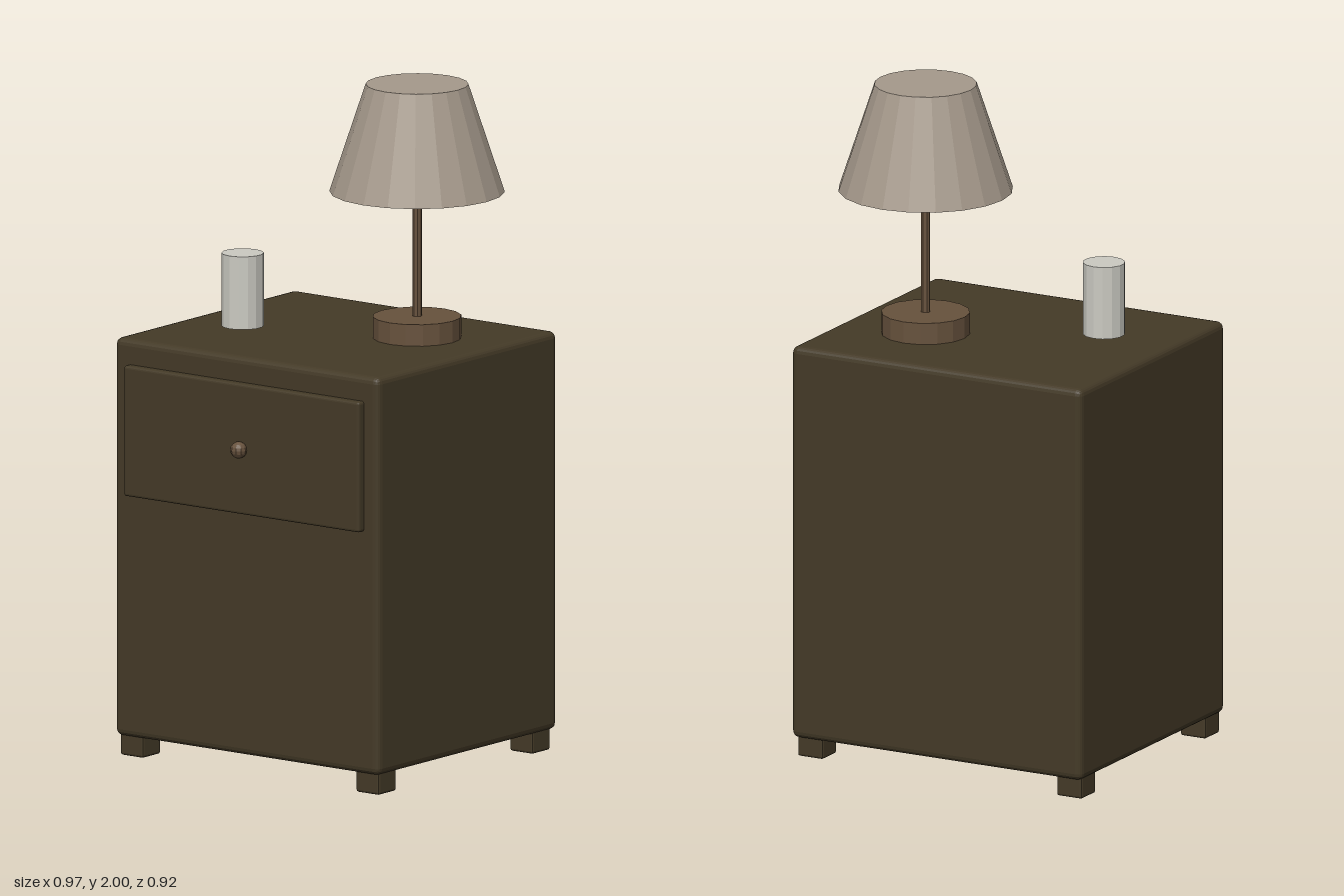
import * as THREE from 'three';
import { RoundedBoxGeometry } from 'three/addons/geometries/RoundedBoxGeometry.js';

function material(name, color) {
  const m = new THREE.MeshStandardMaterial({ color, flatShading: true });
  m.name = name;
  return m;
}

export function createModel() {
  const darkWood = material('darkWood', 0x443a27);
  const lampWood = material('lampWood', 0x67523d);
  const fabric = material('shadeFabric', 0xa69a8c);
  const ceramic = material('paleCeramic', 0xcbcac2);

  const model = new THREE.Group();
  model.name = 'nightstand';

  const add = (name, geometry, mat, x, y, z, parent = model) => {
    const mesh = new THREE.Mesh(geometry, mat);
    mesh.name = name;
    mesh.position.set(x, y, z);
    parent.add(mesh);
    return mesh;
  };

  // Cabinet, drawer front and round knob
  add('cabinet', new RoundedBoxGeometry(0.97, 1.185, 0.86, 2, 0.02), darkWood, 0, 0.6525, -0.03);
  add('drawerFront', new RoundedBoxGeometry(0.866, 0.388, 0.05, 2, 0.008), darkWood, 0, 0.977, 0.4);
  add('drawerKnob', new THREE.SphereGeometry(0.025, 10, 8), lampWood, 0, 0.977, 0.436);

  // Four short feet
  for (const x of [-0.433, 0.433]) {
    for (const z of [0.342, -0.395]) {
      add('foot', new RoundedBoxGeometry(0.085, 0.08, 0.085, 1, 0.007), darkWood, x, 0.04, z);
    }
  }

  // Table lamp: disc base, slim pole and tapered shade
  const lamp = new THREE.Group();
  lamp.name = 'lamp';
  lamp.position.set(0.215, 1.245, -0.138);
  model.add(lamp);
  add('lampBase', new THREE.CylinderGeometry(0.13, 0.13, 0.064, 16), lampWood, 0, 0.032, 0, lamp);
  add('lampPole', new THREE.CylinderGeometry(0.014, 0.014, 0.4, 8), lampWood, 0, 0.255, 0, lamp);
  add('lampShade', new THREE.CylinderGeometry(0.15, 0.256, 0.32, 20), fabric, 0, 0.595, 0, lamp);

  // Cup beside the lamp
  add('cup', new THREE.CylinderGeometry(0.062, 0.062, 0.217, 14), ceramic, -0.261, 1.3635, 0.077);

  return model;
}
